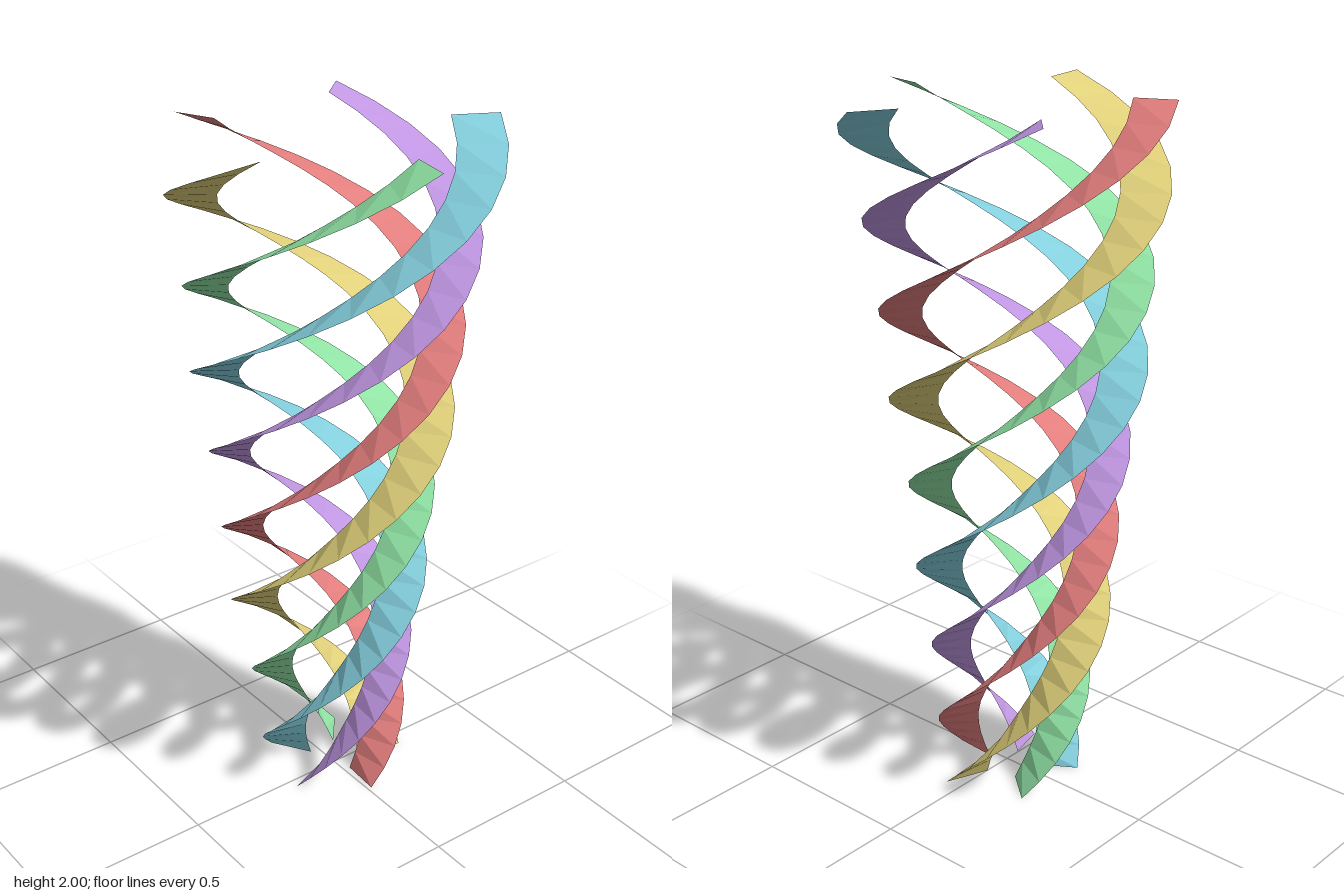
import * as THREE from 'three';

const SEGMENTS = 40;
const HEIGHT = 2;
const RAD = Math.PI / 180;
const TWIST = -576 * RAD;   // 1.6 turns over the full height
const SKEW = 1.7 * RAD;     // cross lines lean slightly off the radius

// Slightly wandering centre line that the ribbons wind around
function axisAt(y) {
  const a = (-75 - 160 * y) * RAD;
  return [-0.026 + 0.0145 * Math.cos(a), -0.004 + 0.0145 * Math.sin(a)];
}

// Level cross lines swept upward in a widening spiral
function ribbonGeometry(startAngle, width) {
  const positions = [];
  const index = [];
  for (let i = 0; i <= SEGMENTS; i++) {
    const t = i / SEGMENTS;
    const y = t * HEIGHT;
    const [cx, cz] = axisAt(y);
    const angle = startAngle + TWIST * t;
    const inner = 0.075 + 0.125 * y;
    for (const [r, a] of [[inner, angle - SKEW], [inner + width, angle + SKEW]]) {
      positions.push(cx + r * Math.cos(a), y, cz + r * Math.sin(a));
    }
    if (i < SEGMENTS) {
      const k = 2 * i;
      index.push(k, k + 1, k + 2, k + 1, k + 3, k + 2);
    }
  }
  const geometry = new THREE.BufferGeometry();
  geometry.setAttribute('position', new THREE.Float32BufferAttribute(positions, 3));
  geometry.setIndex(index);
  geometry.computeVertexNormals();
  return geometry;
}

export function createModel() {
  const model = new THREE.Group();
  model.name = 'spiralRibbons';

  // Five ribbons, evenly spaced around the axis
  const ribbons = [
    ['red', 0xe27d7d, 0.118],
    ['purple', 0xc096e2, 0.114],
    ['blue', 0x84cfdd, 0.132],
    ['green', 0x90e2a4, 0.121],
    ['yellow', 0xe0d07a, 0.136],
  ];
  ribbons.forEach(([name, color, width], i) => {
    const material = new THREE.MeshStandardMaterial({
      color, flatShading: true, side: THREE.DoubleSide,
    });
    material.name = name;
    const mesh = new THREE.Mesh(ribbonGeometry(i * 72 * RAD, width), material);
    mesh.name = name + 'Ribbon';
    model.add(mesh);
  });

  return model;
}
